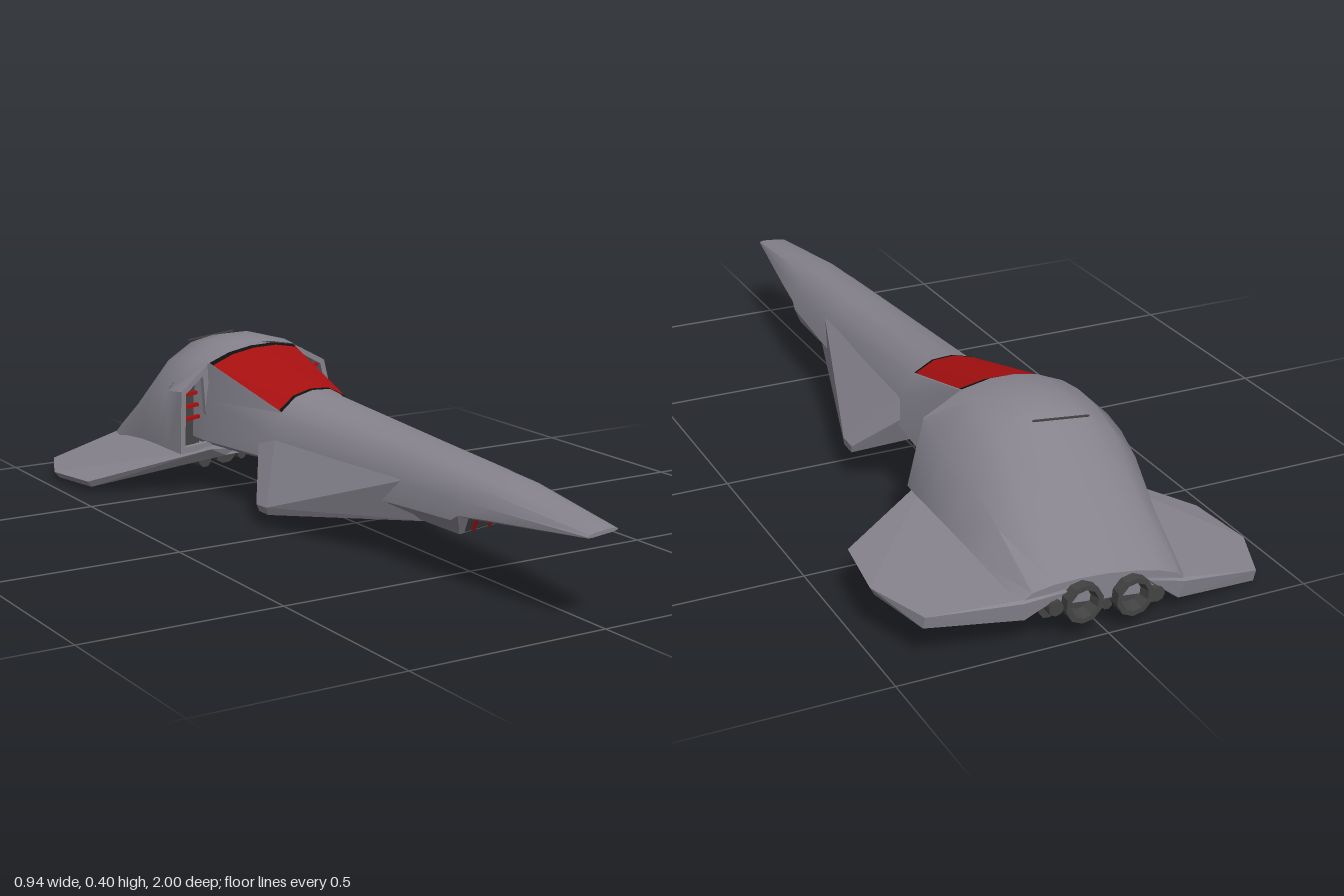
import * as THREE from 'three';
import { toCreasedNormals } from 'three/addons/utils/BufferGeometryUtils.js';
import { ConvexGeometry } from 'three/addons/geometries/ConvexGeometry.js';

const mat = (name, color, side = THREE.FrontSide) => {
  const m = new THREE.MeshStandardMaterial({ color, side });
  m.name = name;
  return m;
};

// Skin mirrored half sections [z, [x, y]...] running from front to back.
// Closed sections run top centre to bottom centre; open strips run centre to edge.
function loft(sections, { closed = true, front = false, back = false, lift = 0, crease = 0.65 } = {}) {
  const pos = [], index = [];
  let n = 0;
  for (const [z, ...half] of sections) {
    const mirrored = half.slice(1, closed ? -1 : undefined).reverse().map(([x, y]) => [-x, y]);
    const ring = closed ? [...half, ...mirrored] : [...mirrored, ...half];
    n = ring.length;
    for (const [x, y] of ring) pos.push(x * (1 + lift * 8), y + lift, z);
  }
  const span = closed ? n : n - 1;
  for (let j = 0; j < sections.length - 1; j++) {
    for (let i = 0; i < span; i++) {
      const k = (i + 1) % n;
      const a = j * n + i, b = j * n + k, c = a + n, d = b + n;
      index.push(a, b, c, b, d, c);
    }
  }
  const last = (sections.length - 1) * n;
  for (let i = 1; i < n - 1; i++) {
    if (front) index.push(0, i + 1, i);
    if (back) index.push(last, last + i, last + i + 1);
  }
  const g = new THREE.BufferGeometry();
  g.setAttribute('position', new THREE.Float32BufferAttribute(pos, 3));
  g.setIndex(index);
  return toCreasedNormals(g, crease);
}

// Solid wrapped around a few corner points, on side s
const hull = (points, s) => new ConvexGeometry(points.map(([x, y, z]) => new THREE.Vector3(x * s, y, z)));

export function createModel() {
  const grey = mat('hull grey', 0x85828c);
  const greyShell = mat('hull grey shell', 0x85828c, THREE.DoubleSide);
  const red = mat('deep red', 0xa81010, THREE.DoubleSide);
  const dark = mat('engine grey', 0x434343);
  const black = mat('black trim', 0x101010, THREE.DoubleSide);

  const root = new THREE.Group();
  root.name = 'spacecraft';
  const craft = new THREE.Group();
  craft.name = 'bankedCraft';
  craft.rotation.z = 0.1;
  craft.position.y = 0.068;
  root.add(craft);

  const add = (name, geometry, material, x = 0, y = 0, z = 0) => {
    const m = new THREE.Mesh(geometry, material);
    m.name = name;
    m.position.set(x, y, z);
    craft.add(m);
    return m;
  };

  // Long tapering fuselage
  const body = [
    [1, [0, .153], [.02, .153], [.035, .151], [.041, .148], [.041, .146], [.03, .144], [0, .144]],
    [.7, [0, .193], [.035, .19], [.06, .178], [.078, .15], [.085, .125], [.07, .116], [0, .116]],
    [.6, [0, .198], [.038, .195], [.066, .18], [.086, .145], [.096, .115], [.078, .106], [0, .106]],
    [.575, [0, .2], [.039, .197], [.067, .182], [.088, .145], [.099, .1], [.078, .061], [0, .061]],
    [.33, [0, .215], [.043, .21], [.077, .19], [.1, .145], [.112, .09], [.08, .058], [0, .055]],
    [-.17, [0, .246], [.05, .238], [.093, .208], [.125, .15], [.145, .1], [.1, .075], [0, .062]],
    [-.48, [0, .315], [.065, .31], [.125, .293], [.15, .2], [.165, .09], [.12, .06], [0, .045]],
    [-.6, [0, .31], [.065, .3], [.125, .28], [.15, .2], [.165, .09], [.12, .05], [0, .02]],
  ];
  add('fuselage', loft(body, { front: true, back: true }), grey);

  // Red canopy with black trim at both ends, laid over the fuselage top
  const at = (z) => {
    const t = (-.17 - z) / .31;
    const [a, b] = [body[5], body[6]];
    return [z, ...[1, 2, 3].map((i) => a[i].map((v, k) => v + (b[i][k] - v) * t))];
  };
  const strip = (z0, z1, lift) => loft([at(z0), at(z1)], { closed: false, lift });
  add('canopy', strip(-.18, -.462, .004), red);
  add('canopyFrontTrim', strip(-.17, -.18, .004), black);
  add('canopyRearTrim', strip(-.462, -.478, .004), black);

  // Domed rear hull, open at the front for the side intakes
  add('rearHull', loft([
    [-.48, [0, .324], [.06, .319], [.13, .298], [.22, .235], [.242, .07], [.15, .04], [0, .03]],
    [-.54, [0, .333], [.06, .328], [.138, .3], [.226, .23], [.249, .074], [.15, .035], [0, .02]],
    [-.61, [0, .332], [.062, .326], [.14, .293], [.224, .217], [.25, .075], [.15, .03], [0, .015]],
    [-.7, [0, .313], [.066, .306], [.14, .27], [.212, .193], [.246, .07], [.15, .025], [0, .015]],
    [-.83, [0, .2], [.07, .194], [.138, .17], [.195, .123], [.23, .05], [.15, .02], [0, .015]],
    [-.975, [0, .065], [.07, .062], [.13, .055], [.18, .042], [.205, .018], [.15, .005], [0, .005]],
  ], { back: true, crease: 0.8 }), greyShell);

  // Engine cowl panel seam on the dome
  add('dorsalSeam', new THREE.BoxGeometry(.14, .004, .004), dark, 0, .311, -.708);

  // Chin intake with red bars
  const chin = add('chinIntake', new THREE.BoxGeometry(.13, .04, .006), dark, 0, .084, .5885);
  chin.rotation.x = .507;
  for (const x of [-.045, 0, .045]) {
    const bar = add('chinIntakeBar', new THREE.BoxGeometry(.008, .04, .008), red, x, .083, .591);
    bar.rotation.x = .507;
  }

  for (const s of [1, -1]) {
    // Swept wing
    add('wing', hull([
      [.1, .065, -.43], [.17, .075, -.44], [.45, .01, -.63], [.472, .006, -.8], [.41, .002, -.945],
      [.2, .022, -.98], [.1, .04, -.985], [.13, .05, -.44], [.44, -.008, -.635], [.46, -.012, -.8],
      [.41, -.026, -.94], [.2, -.032, -.75], [.19, -.02, -.975], [.12, .02, -.97], [.12, .03, -.6],
    ], s), grey);

    // Drooping fin on the fuselage side
    add('sideFin', hull([
      [.095, .15, .38], [.07, .06, .45], [.12, .155, -.17], [.135, .13, -.235], [.221, .01, -.07],
      [.221, .008, -.12], [.217, -.01, -.07], [.217, -.01, -.115], [.09, .075, -.24],
    ], s), grey);

    // Side intake: frame, dark back wall and red bars
    const outline = [[.135, .293], [.22, .235], [.242, .07], [.15, .065]];
    const inset = [[.152, .265], [.207, .227], [.226, .085], [.158, .085]];
    const points = (list) => list.map(([x, y]) => new THREE.Vector2(x * s, y));
    const frame = new THREE.Shape(points(outline));
    frame.holes.push(new THREE.Path(points(inset)));
    add('sideIntakeFrame', new THREE.ExtrudeGeometry(frame, { depth: .015, bevelEnabled: false }), grey, 0, 0, -.493);
    add('sideIntakeWall', new THREE.ShapeGeometry(new THREE.Shape(points(outline))), dark, 0, 0, -.55);
    for (const y of [.15, .183, .216]) {
      add('sideIntakeBar', new THREE.BoxGeometry(.06, .009, .012), red, .188 * s, y, -.515);
    }

    // Engine pods under the rear hull: [x, y, radius, flattening]
    for (const [x, y, r, flat] of [[.016, -.008, .014, 1], [.066, .002, .035, .75], [.13, .003, .023, 1.1]]) {
      const pod = new THREE.CylinderGeometry(r, r * .85, .4, 8).rotateY(Math.PI / 8).rotateX(-Math.PI / 2);
      const m = add('enginePod', pod, dark, x * s, y, -.765);
      m.scale.y = flat;
      m.rotation.x = -.04;
    }

    // Main exhaust nozzle, hollow at the rear
    const profile = [[0, .05], [.034, .05], [.046, .035], [.046, 0], [.034, 0], [.026, .03], [0, .03]];
    const nozzle = new THREE.LatheGeometry(profile.map(([r, y]) => new THREE.Vector2(r, y)).reverse(), 10)
      .rotateX(Math.PI / 2);
    add('exhaustNozzle', toCreasedNormals(nozzle, .5), dark, .062 * s, .012, -1);
    const small = new THREE.CylinderGeometry(.018, .018, .03, 8).rotateX(Math.PI / 2);
    add('smallNozzle', small, dark, .125 * s, .005, -.975);
  }
  return root;
}
